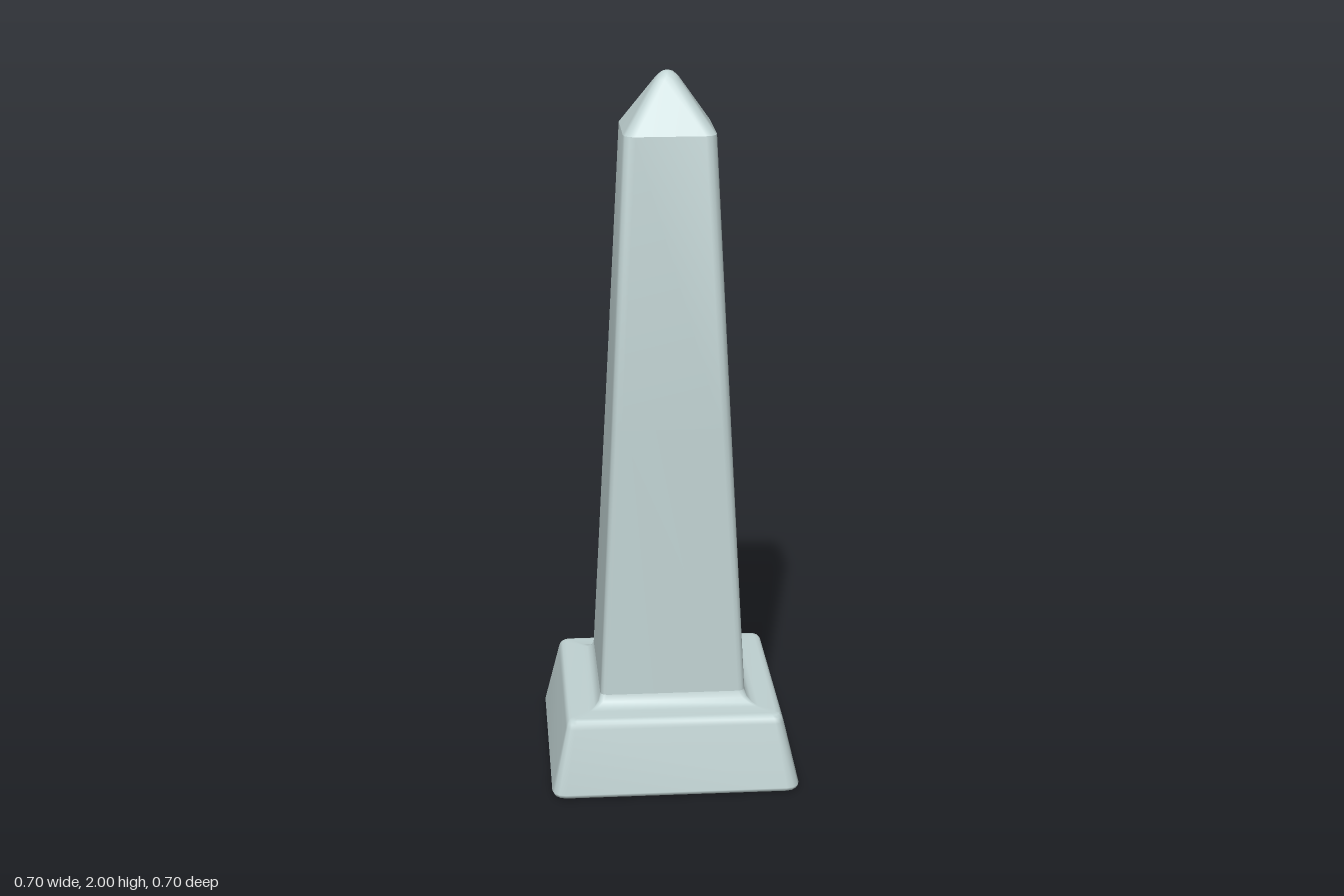
import * as THREE from 'three';

const CORNER_STEPS = 3; // facets around each rounded corner

// One rounded-square ring: half-width h, corner radius r, height y
function ring([h, r, y]) {
  const points = [];
  for (let corner = 0; corner < 4; corner++) {
    const mid = Math.PI / 4 + corner * Math.PI / 2;
    const cx = Math.sign(Math.sin(mid)) * (h - r);
    const cz = Math.sign(Math.cos(mid)) * (h - r);
    for (let s = 0; s <= CORNER_STEPS; s++) {
      const a = (corner + s / CORNER_STEPS) * Math.PI / 2;
      points.push(cx + Math.sin(a) * r, y, cz + Math.cos(a) * r);
    }
  }
  return points;
}

// Skin a stack of rings, bottom to top, optionally closing the ends
function loft(sections, closeBottom, closeTop) {
  const n = 4 * (CORNER_STEPS + 1);
  const positions = sections.flatMap(ring);
  const index = [];
  for (let k = 0; k < sections.length - 1; k++) {
    for (let i = 0; i < n; i++) {
      const a = k * n + i, b = k * n + (i + 1) % n;
      index.push(a, b, a + n, b, b + n, a + n);
    }
  }
  const close = (k, up) => {
    const centre = positions.length / 3;
    positions.push(0, sections[k][2], 0);
    for (let i = 0; i < n; i++) {
      const a = k * n + i, b = k * n + (i + 1) % n;
      if (up) index.push(centre, a, b);
      else index.push(centre, b, a);
    }
  };
  if (closeBottom) close(0, false);
  if (closeTop) close(sections.length - 1, true);
  const geometry = new THREE.BufferGeometry();
  geometry.setAttribute('position', new THREE.Float32BufferAttribute(positions, 3));
  geometry.setIndex(index);
  geometry.computeVertexNormals(); // area weighted: wide faces stay flat, bevels blend
  return geometry;
}

export function createModel() {
  const group = new THREE.Group();
  group.name = 'obelisk';
  const stone = new THREE.MeshStandardMaterial({ color: 0xc0d2d2 });
  const add = (name, geometry) => {
    const mesh = new THREE.Mesh(geometry, stone);
    mesh.name = name;
    group.add(mesh);
  };

  // Sloped plinth with bevelled edges, sweeping up into the shaft
  add('plinth', loft([
    [0.335, 0.03, 0],
    [0.345, 0.035, 0.004],
    [0.35, 0.037, 0.015],
    [0.308, 0.025, 0.195],
    [0.304, 0.024, 0.209],
    [0.297, 0.022, 0.217],
    [0.285, 0.018, 0.22],
    [0.24, 0.005, 0.22],
    [0.224, 0.008, 0.225],
    [0.212, 0.014, 0.236],
    [0.206, 0.02, 0.255],
  ], true, false));

  // Tapering shaft with softened corners
  add('shaft', loft([
    [0.206, 0.02, 0.255],
    [0.167, 0.027, 1.03],
    [0.127, 0.032, 1.842],
  ], false, true));

  // Pyramid cap with a rounded tip
  add('capstone', loft([
    [0.127, 0.032, 1.842],
    [0.034, 0.024, 1.978],
    [0.026, 0.022, 1.988],
    [0.015, 0.014, 1.997],
    [0.005, 0.005, 2],
  ], false, true));

  return group;
}
